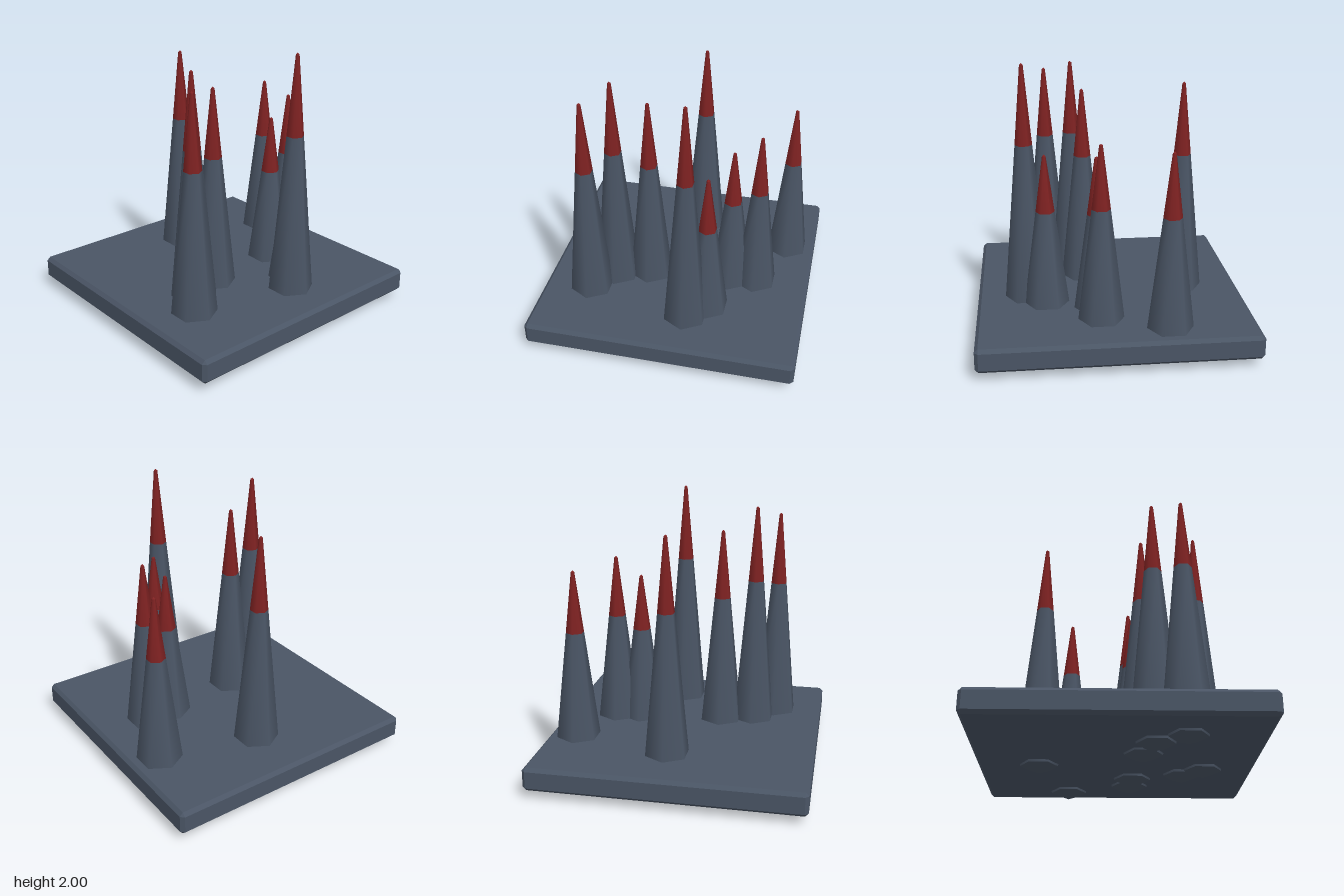
import * as THREE from 'three';
import { ConvexGeometry } from 'three/addons/geometries/ConvexGeometry.js';

const slate = new THREE.MeshStandardMaterial({ color: 0x4a5565 });
slate.name = 'slate';
const red = new THREE.MeshStandardMaterial({ color: 0x7f2222 });
red.name = 'dark red';

const PLATE_BOTTOM = 0.07, PLATE_TOP = 0.245;

// Square slab with every edge chamfered
function makePlate() {
  const half = 0.99, c = 0.025;
  const hy = (PLATE_TOP - PLATE_BOTTOM) / 2;
  const points = [];
  for (const sx of [-1, 1]) for (const sy of [-1, 1]) for (const sz of [-1, 1]) {
    points.push(
      new THREE.Vector3(sx * (half - c), sy * hy, sz * (half - c)),
      new THREE.Vector3(sx * half, sy * (hy - c), sz * (half - c)),
      new THREE.Vector3(sx * (half - c), sy * (hy - c), sz * half)
    );
  }
  const plate = new THREE.Mesh(new ConvexGeometry(points), slate);
  plate.name = 'basePlate';
  plate.position.y = (PLATE_TOP + PLATE_BOTTOM) / 2;
  return plate;
}

// One open hexagonal section, with corners on the x axis
function section(name, material, y0, r0, y1, r1) {
  const geometry = new THREE.CylinderGeometry(r1, r0, y1 - y0, 6, 1, true);
  geometry.rotateY(Math.PI / 6);
  geometry.translate(0, (y0 + y1) / 2, 0);
  const mesh = new THREE.Mesh(geometry, material);
  mesh.name = name;
  return mesh;
}

// Spike passing through the plate: blunt underside, tapered shaft, red point
function makeSpike(x, z, top) {
  const split = 1.415 - 0.744 * (2 - top);
  const baseY = 0.235, baseR = 0.166, tipY = top - 0.012, tipR = 0.013;
  const splitR = THREE.MathUtils.mapLinear(split, baseY, tipY, baseR, tipR);
  const spike = new THREE.Group();
  spike.name = 'spike';
  spike.add(
    section('spikeFoot', slate, 0.005, 0, 0.055, 0.133),
    section('spikeRoot', slate, 0.055, 0.133, baseY, baseR),
    section('spikeShaft', slate, baseY, baseR, split, splitR),
    section('spikeTip', red, split, splitR, tipY, tipR),
    section('spikePoint', red, tipY, tipR, top, 0)
  );
  spike.position.set(x, 0, z);
  return spike;
}

export function createModel() {
  const model = new THREE.Group();
  model.name = 'spikeTrap';
  model.add(makePlate());

  // x, z and height of each spike
  const spikes = [
    [-0.55, -0.05, 1.83], [-0.36, -0.77, 1.51], [0.105, -0.58, 1.525],
    [0.12, -0.39, 1.385], [0.48, -0.27, 1.375], [0.62, -0.14, 2.0],
    [0.175, 0.23, 1.74], [0.245, 0.475, 1.91], [0.445, 0.63, 1.835]
  ];
  for (const [x, z, top] of spikes) model.add(makeSpike(x, z, top));
  return model;
}
